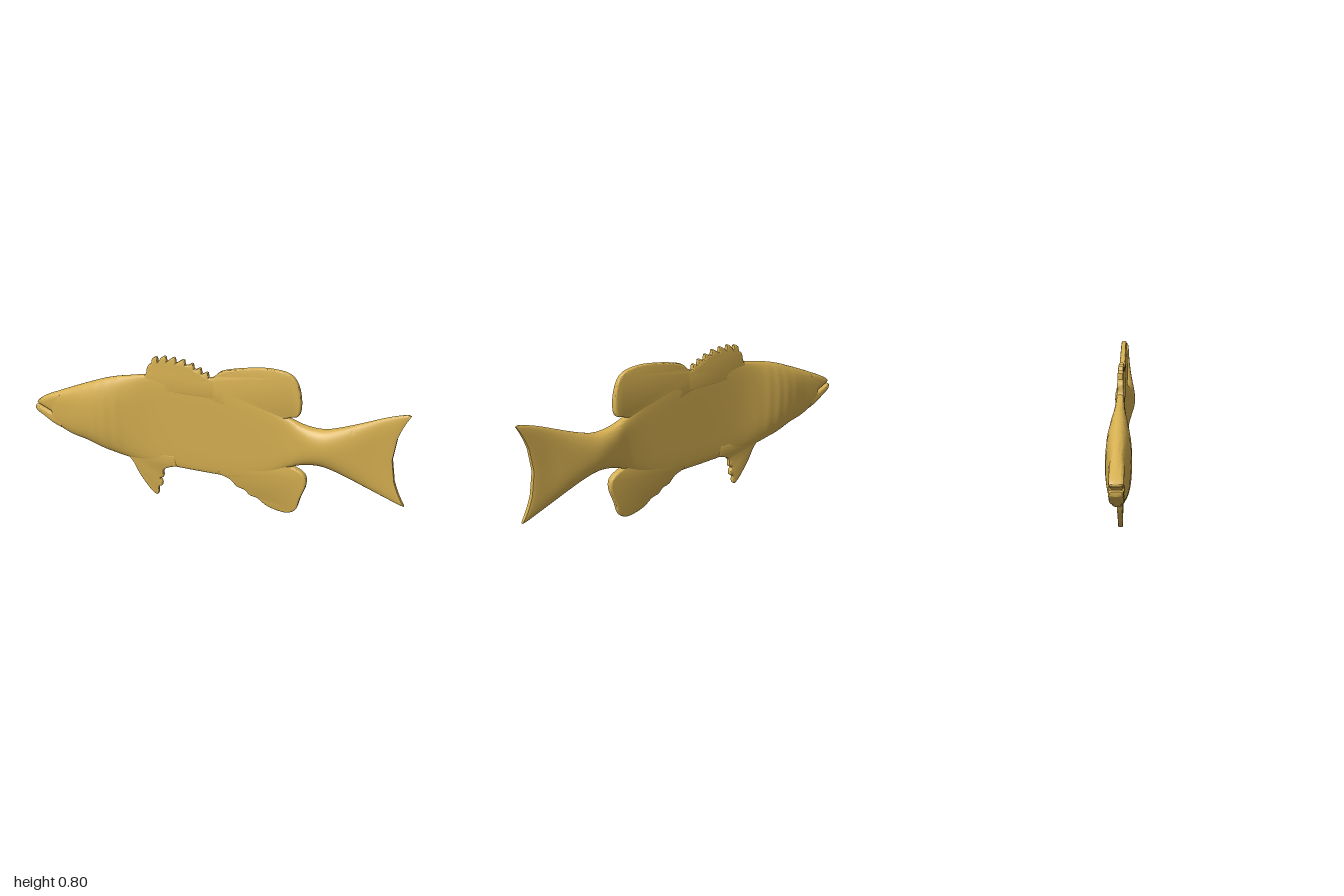
import * as THREE from 'three';
import { toCreasedNormals } from 'three/addons/utils/BufferGeometryUtils.js';

const material = new THREE.MeshStandardMaterial({ color: 0xd4ae50 });
const CORNERS = 40;

// Skin a row of superellipse sections: [x, bottom, top, half thickness, squareness]
function loft(stations, steps, adjust) {
  const outline = new THREE.CatmullRomCurve3(
    stations.map(([x, b, t]) => new THREE.Vector3(x, b, t)), false, 'catmullrom');
  const girth = new THREE.CatmullRomCurve3(
    stations.map(([x, , , h, n]) => new THREE.Vector3(x, h, n)), false, 'catmullrom');
  const positions = [], index = [];
  const power = (v, p) => Math.sign(v) * Math.pow(Math.abs(v), p);
  const ring = (u, squash) => {
    const { x, y: bottom, z: top } = outline.getPoint(u);
    const { y: half, z: n } = girth.getPoint(u);
    for (let j = 0; j < CORNERS; j++) {
      const a = (j / CORNERS) * Math.PI * 2;
      const s = power(Math.sin(a), 2 / n);
      const p = new THREE.Vector3(x, (top + bottom) / 2 + s * (top - bottom) / 2,
        power(Math.cos(a), 2 / n) * half * squash);
      if (adjust) adjust(p, s);
      positions.push(p.x, p.y, p.z);
    }
  };
  ring(0, 0); // first and last rings are pressed flat to close the ends
  for (let i = 0; i <= steps; i++) ring(i / steps, 1);
  ring(1, 0);
  for (let i = 0; i < steps + 2; i++) {
    for (let j = 0; j < CORNERS; j++) {
      const a = i * CORNERS + j, c = i * CORNERS + (j + 1) % CORNERS;
      index.push(a, a + CORNERS, c, a + CORNERS, c + CORNERS, c);
    }
  }
  const g = new THREE.BufferGeometry();
  g.setAttribute('position', new THREE.Float32BufferAttribute(positions, 3));
  g.setIndex(index);
  return toCreasedNormals(g, 0.9);
}

// Thin rounded plate that gets thinner away from the body's middle line
function finPlate(shape) {
  const half = 0.018, bevel = 0.009;
  const g = new THREE.ExtrudeGeometry(shape, {
    depth: 2 * (half - bevel), bevelThickness: bevel, bevelSize: bevel,
    bevelOffset: -bevel, bevelSegments: 3, curveSegments: 6,
  });
  g.translate(0, 0, bevel - half);
  const p = g.attributes.position;
  for (let i = 0; i < p.count; i++) {
    const reach = Math.abs(p.getY(i) - 0.43);
    p.setZ(i, p.getZ(i) * THREE.MathUtils.mapLinear(
      THREE.MathUtils.clamp(reach, 0.2, 0.38), 0.2, 0.38, 1, 0.65));
  }
  return toCreasedNormals(g, 0.7);
}

// Fin outline: a smooth free edge closed by straight lines through the body
function finShape(edge, root) {
  const points = edge.map(([x, y]) => new THREE.Vector2(x, y));
  const shape = new THREE.Shape();
  shape.moveTo(points[0].x, points[0].y);
  shape.splineThru(points.slice(1));
  root.forEach(([x, y]) => shape.lineTo(x, y));
  shape.closePath();
  return shape;
}

export function createModel() {
  const group = new THREE.Group();
  const add = (name, geometry) => {
    const mesh = new THREE.Mesh(geometry, material);
    mesh.name = name;
    group.add(mesh);
  };

  // Head, flat trunk, tail stalk and forked tail in one skin
  const body = [
    [-0.90, 0.325, 0.490, 0.034, 3.5],
    [-0.80, 0.276, 0.535, 0.042, 2.8],
    [-0.70, 0.252, 0.577, 0.055, 2.4],
    [-0.61, 0.222, 0.613, 0.060, 2.3],
    [-0.53, 0.205, 0.638, 0.053, 2.4],
    [-0.44, 0.190, 0.658, 0.036, 2.8],
    [-0.34, 0.187, 0.677, 0.023, 4],
    [-0.20, 0.184, 0.690, 0.018, 5],
    [0.00, 0.183, 0.685, 0.018, 5],
    [0.15, 0.190, 0.655, 0.019, 5],
    [0.30, 0.235, 0.605, 0.021, 4.5],
    [0.40, 0.288, 0.562, 0.027, 3.5],
    [0.48, 0.320, 0.532, 0.043, 2.6],
    [0.57, 0.331, 0.524, 0.055, 2.2],
    [0.66, 0.310, 0.548, 0.050, 2.2],
    [0.77, 0.268, 0.592, 0.037, 2.3],
    [0.88, 0.226, 0.638, 0.023, 2.8],
    [0.97, 0.193, 0.666, 0.015, 4],
    [0.995, 0.187, 0.664, 0.011, 5],
  ];
  add('body', loft(body, 144, (p, s) => {
    // gill folds
    const d = (p.x + 0.58) / 0.12;
    p.z *= 1 + 0.02 * Math.sin(p.x * 95) * Math.exp(-d * d);
    // hollow trailing edge of the tail
    const t = THREE.MathUtils.clamp((p.x - 0.6) / 0.4, 0, 1);
    p.x -= 0.075 * t * (1 - s * s);
  }));

  // Open mouth
  add('upperJaw', loft([
    [-0.986, 0.430, 0.442, 0.026, 3],
    [-0.972, 0.422, 0.453, 0.032, 4],
    [-0.940, 0.407, 0.471, 0.033, 4],
    [-0.900, 0.388, 0.490, 0.034, 4],
    [-0.850, 0.385, 0.508, 0.034, 4],
  ], 20));
  add('lowerJaw', loft([
    [-1.000, 0.392, 0.413, 0.026, 3],
    [-0.985, 0.378, 0.417, 0.032, 4],
    [-0.945, 0.354, 0.402, 0.033, 4],
    [-0.900, 0.325, 0.389, 0.034, 4],
    [-0.850, 0.303, 0.392, 0.034, 4],
  ], 20));

  // Spiny front dorsal fin: backward-hooked points along the crest
  const spiny = new THREE.Shape();
  spiny.moveTo(-0.37, 0.66);
  spiny.quadraticCurveTo(-0.352, 0.675, -0.35, 0.705);
  spiny.quadraticCurveTo(-0.345, 0.735, -0.325, 0.738);
  const tips = [[-0.298, 0.778], [-0.25, 0.788], [-0.2, 0.788], [-0.15, 0.784],
    [-0.103, 0.77], [-0.062, 0.752], [-0.025, 0.735]];
  tips.forEach(([x, y]) => {
    spiny.lineTo(x - 0.022, y - 0.012);
    spiny.lineTo(x - 0.004, y);
    spiny.lineTo(x + 0.005, y - 0.003);
    spiny.lineTo(x + 0.009, y - 0.028);
  });
  spiny.lineTo(0.02, 0.705);
  spiny.lineTo(0.02, 0.6);
  spiny.lineTo(-0.34, 0.6);
  spiny.closePath();
  add('spinyDorsalFin', finPlate(spiny));

  add('softDorsalFin', finPlate(finShape([
    [-0.02, 0.70], [0.01, 0.715], [0.05, 0.75], [0.12, 0.772], [0.21, 0.79], [0.30, 0.80],
    [0.39, 0.790], [0.435, 0.755], [0.458, 0.69], [0.463, 0.62], [0.452, 0.578],
    [0.42, 0.567], [0.385, 0.555],
  ], [[0.33, 0.5], [-0.02, 0.6]])));

  add('analFin', finPlate(finShape([
    [0.04, 0.19], [0.10, 0.17], [0.14, 0.135], [0.18, 0.123], [0.21, 0.098], [0.25, 0.088],
    [0.30, 0.055], [0.36, 0.038], [0.415, 0.037], [0.455, 0.065], [0.475, 0.13],
    [0.50, 0.20], [0.50, 0.25], [0.475, 0.28], [0.42, 0.304],
  ], [[0.34, 0.36], [0.06, 0.32]])));

  add('pelvicFin', finPlate(finShape([
    [-0.47, 0.205], [-0.44, 0.17], [-0.405, 0.105], [-0.365, 0.05], [-0.335, 0.016],
    [-0.31, 0.001], [-0.298, 0.015], [-0.296, 0.048], [-0.278, 0.06], [-0.277, 0.082],
    [-0.288, 0.1], [-0.27, 0.113], [-0.268, 0.15], [-0.24, 0.172], [-0.19, 0.188],
  ], [[-0.2, 0.25], [-0.44, 0.26]])));

  return group;
}
